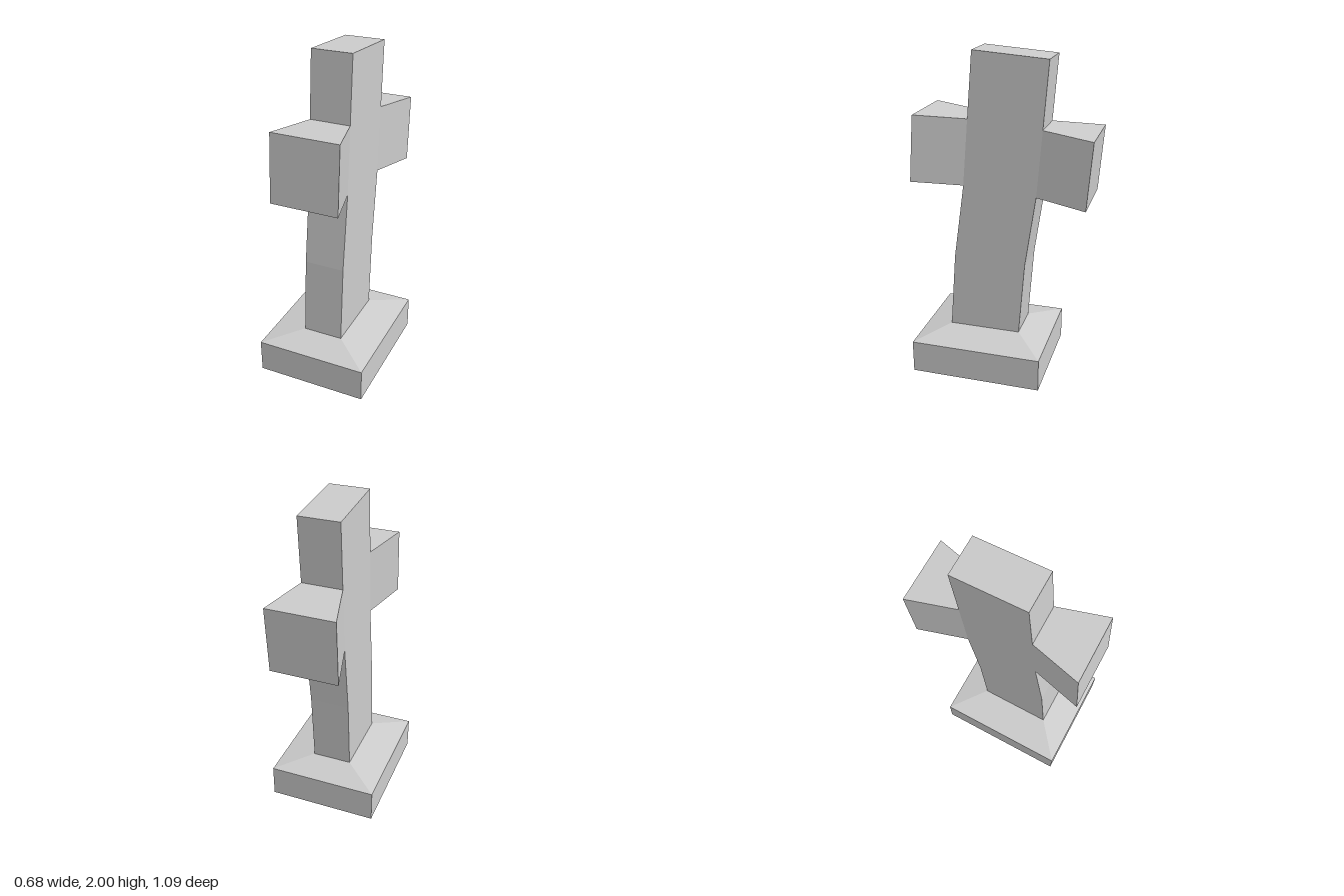
import * as THREE from 'three';

const material = new THREE.MeshStandardMaterial({ color: 0xcccccc, flatShading: true });

// Lofts four-cornered sections [halfWidth, [yA, zA], [yB, zB]];
// caps = [start, end], hidden(i, j) leaves out faces covered by another part.
function loft(name, sections, caps, hidden = () => false) {
  const rings = sections.map(([w, [ya, za], [yb, zb]]) => [
    [w, ya, za], [w, yb, zb], [-w, yb, zb], [-w, ya, za],
  ]);
  const positions = [];
  const quad = (a, b, c, d) => positions.push(...a, ...b, ...c, ...a, ...c, ...d);
  for (let i = 0; i < rings.length - 1; i++) {
    for (let j = 0; j < 4; j++) {
      if (hidden(i, j)) continue;
      const k = (j + 1) % 4;
      quad(rings[i][j], rings[i][k], rings[i + 1][k], rings[i + 1][j]);
    }
  }
  if (caps[0]) quad(...[...rings[0]].reverse());
  if (caps[1]) quad(...rings[rings.length - 1]);
  const geometry = new THREE.BufferGeometry();
  geometry.setAttribute('position', new THREE.Float32BufferAttribute(positions, 3));
  geometry.computeVertexNormals();
  const mesh = new THREE.Mesh(geometry, material);
  mesh.name = name;
  return mesh;
}

export function createModel() {
  const model = new THREE.Group();
  model.name = 'leaningStoneCross';

  const w = 0.123; // half thickness of the shaft
  const armW = 0.205; // half thickness of the flared arm ends
  const footFront = [0.255, 0.34], footBack = [0.255, -0.106];
  // Corners where the arms meet the shaft
  const frontLow = [1.2, 0.24], frontHigh = [1.607, 0.207];
  const backLow = [1.165, -0.207], backHigh = [1.57, -0.24];

  // Plinth with sloping shoulders up to the shaft
  model.add(loft('plinth', [
    [0.341, [0, 0.523], [0, -0.289]],
    [0.341, [0.205, 0.523], [0.205, -0.289]],
    [w, footFront, footBack],
  ], [true, false]));

  // Bent, leaning shaft; its front and back are covered at the crossing
  model.add(loft('shaft', [
    [w, footFront, footBack],
    [w, [0.73, 0.305], [0.72, -0.142]],
    [w, frontLow, backLow],
    [w, frontHigh, backHigh],
    [w, [2, 0.175], [1.967, -0.272]],
  ], [false, true], (i, j) => i === 2 && j % 2 === 1));

  // Arms widening outwards
  model.add(loft('frontArm', [
    [w, frontLow, frontHigh],
    [armW, [1.222, 0.545], [1.629, 0.514]],
  ], [false, true]));
  model.add(loft('backArm', [
    [w, backHigh, backLow],
    [armW, [1.546, -0.545], [1.139, -0.514]],
  ], [false, true]));

  return model;
}
